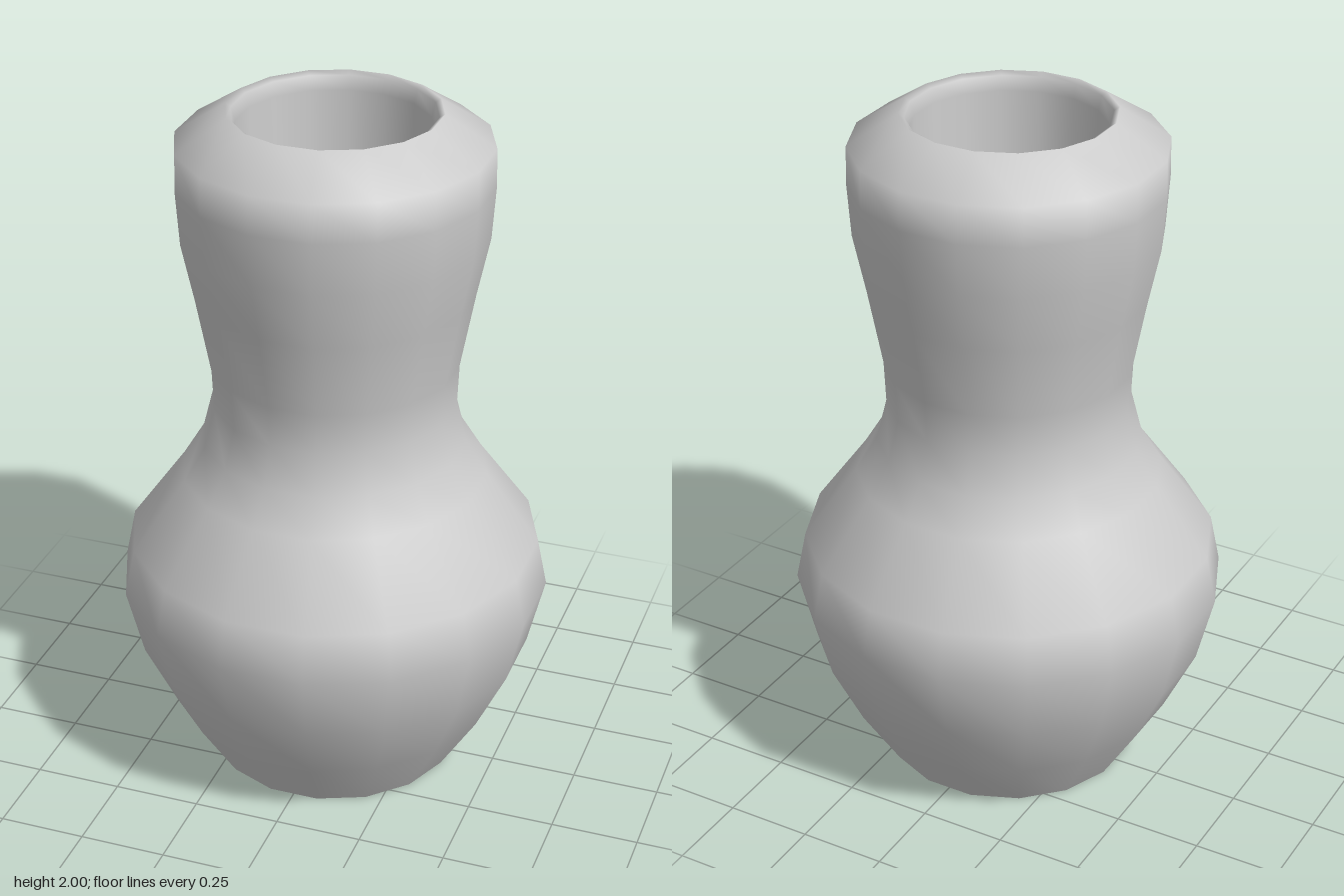
import * as THREE from 'three';

const SIDES = 16;
const PHASE = Math.PI / SIDES; // flat sides face the axes
const ACROSS = 1 / Math.cos(PHASE); // half width across flats -> corner radius

const material = new THREE.MeshStandardMaterial({ color: 0xcccccc });

// Turns a list of [half width, height] into a smooth sixteen-sided surface
function turned(name, profile) {
  const points = profile.map(([r, y]) => new THREE.Vector2(r * ACROSS, y));
  const mesh = new THREE.Mesh(new THREE.LatheGeometry(points, SIDES, PHASE), material);
  mesh.name = name;
  return mesh;
}

export function createModel() {
  const vase = new THREE.Group();
  vase.name = 'vase';

  // Outer belly, neck and collar, over the lip and down the hollow inside
  vase.add(turned('body', [
    [0.36, 0], [0.47, 0.18], [0.56, 0.37], [0.608, 0.57], [0.58, 0.71],
    [0.43, 0.92], [0.37, 1.02], [0.34, 1.14], [0.345, 1.26], [0.385, 1.48],
    [0.42, 1.65], [0.43, 1.8], [0.428, 1.91],
    [0.29, 2], [0.275, 1.99], [0.265, 1.95],
    [0.26, 1.7], [0.24, 1.45], [0.21, 1.22], [0.22, 1.1], [0.3, 0.92],
    [0.43, 0.7], [0.46, 0.57], [0.41, 0.38], [0.3, 0.22], [0.15, 0.14], [0, 0.11],
  ]));

  // Flat underside
  vase.add(turned('base', [[0, 0], [0.36, 0]]));

  return vase;
}
